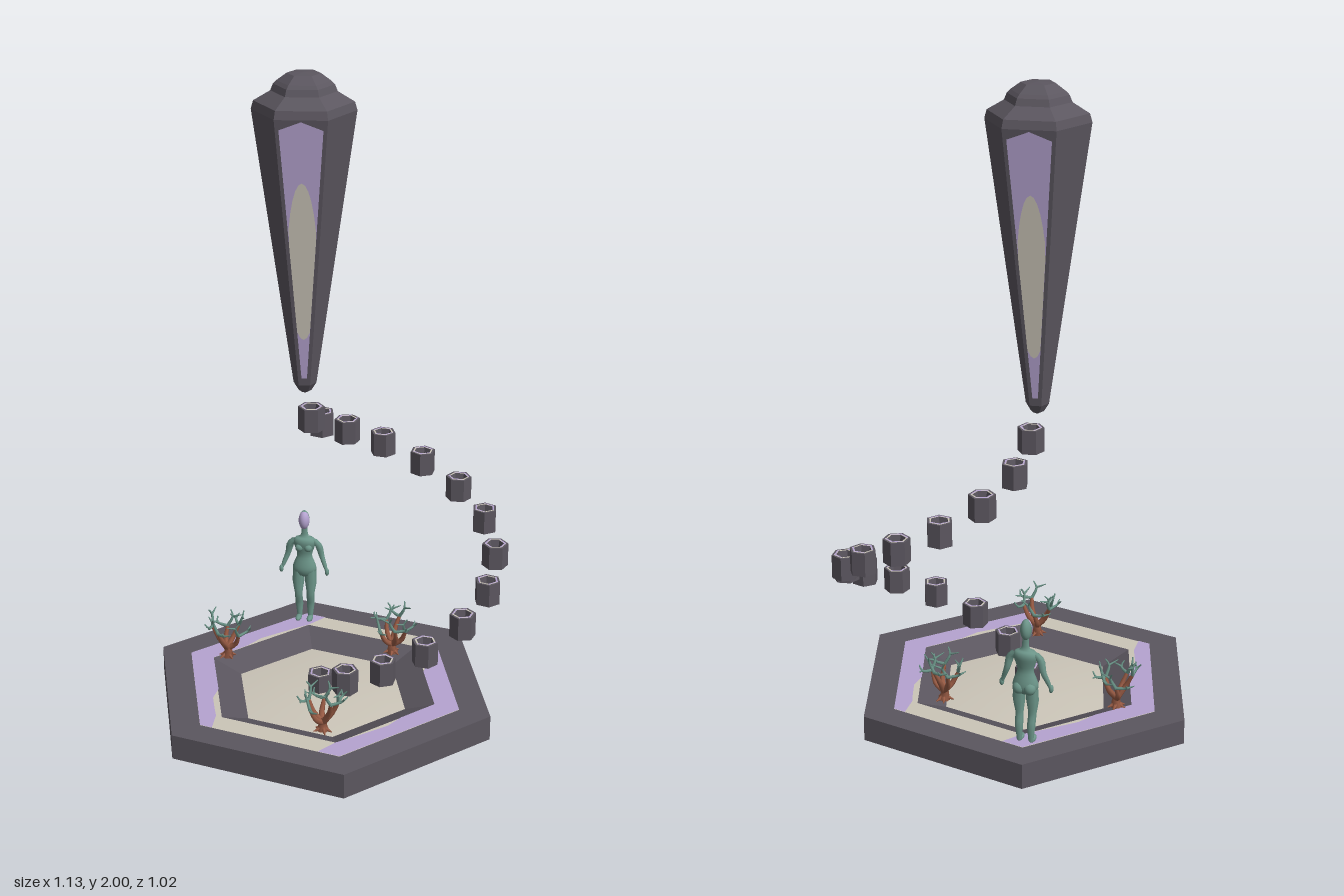
import * as THREE from 'three';

const mat = (name, color, double) => {
  const m = new THREE.MeshStandardMaterial({ color });
  m.name = name;
  if (double) m.side = THREE.DoubleSide;
  return m;
};
const V = (x, y, z) => new THREE.Vector3(x, y, z);
const rad = THREE.MathUtils.degToRad;

export function createModel() {
  const stone = mat('dark stone', 0x5b565f);
  const lilac = mat('lilac', 0xb5a3d0, true);
  const cream = mat('cream', 0xcbc5b8, true);
  const teal = mat('teal', 0x6b9488);
  const rust = mat('rust', 0x9a5c45);

  const add = (parent, name, geo, material, x = 0, y = 0, z = 0) => {
    const m = new THREE.Mesh(geo, material);
    m.name = name;
    m.position.set(x, y, z);
    parent.add(m);
    return m;
  };
  const group = (parent, name, x = 0, y = 0, z = 0) => {
    const g = new THREE.Group();
    g.name = name;
    g.position.set(x, y, z);
    parent.add(g);
    return g;
  };

  // Six-sided faceted solid from a radius/height profile
  const hexLathe = (profile, startDeg) => {
    const pts = profile.map(([r, y]) => new THREE.Vector2(r, y));
    const g = new THREE.LatheGeometry(pts, 6, rad(startDeg)).toNonIndexed();
    g.computeVertexNormals();
    return g;
  };

  // Tapered tube through points, one radius per point
  const limb = (pts, radii, sides = 8, steps = 12) => {
    const curve = new THREE.CatmullRomCurve3(pts);
    const g = new THREE.TubeGeometry(curve, steps, 1, sides);
    const p = g.attributes.position, v = V(), last = radii.length - 1;
    for (let i = 0; i < p.count; i++) {
      const t = Math.floor(i / (sides + 1)) / steps;
      const c = curve.getPointAt(t), k = Math.min(Math.floor(t * last), last - 1);
      const r = THREE.MathUtils.lerp(radii[k], radii[k + 1], t * last - k);
      v.fromBufferAttribute(p, i).sub(c).multiplyScalar(r).add(c);
      p.setXYZ(i, v.x, v.y, v.z);
    }
    return g;
  };

  const root = new THREE.Group();
  root.name = 'floatingCrystalShrine';

  // Hexagonal pad: dark rim, coloured band, sunken dark bevel, pale domed floor
  const bandHalf = [[0.19, 0.4], [0.23, 0.4], [0.461, 0], [0.23, -0.4], [0.16, -0.4],
    [0.19, -0.33], [0.23, -0.275], [0.295, -0.18], [0.315, -0.115], [0.38, 0], [0.275, 0.18],
    [0.267, 0.235], [0.235, 0.29], [0.21, 0.33]];
  const rimGeo = hexLathe([[0, 0], [0.563, 0], [0.563, 0.08], [0.461, 0.08]], 30);
  const bandGeo = hexLathe([[0.461, 0.08], [0.381, 0.08]], 30);
  const bevelGeo = hexLathe([[0.381, 0.08], [0.283, 0.042]], 30);
  const floorGeo = new THREE.LatheGeometry(
    [[0.283, 0.042], [0.2, 0.051], [0.1, 0.057], [0, 0.059]].map(p => new THREE.Vector2(...p)), 6, rad(30));
  const patchGeo = new THREE.ShapeGeometry(new THREE.Shape(bandHalf.map(p => new THREE.Vector2(...p))));
  patchGeo.rotateX(-Math.PI / 2);
  const makePad = (name) => {
    const g = group(root, name);
    add(g, 'rim', rimGeo, stone);
    add(g, 'band', bandGeo, cream);
    add(g, 'bevel', bevelGeo, stone);
    add(g, 'floor', floorGeo, cream);
    for (const s of [0, 1]) add(g, 'bandPatch', patchGeo, lilac, 0, 0.0815, 0).rotation.y = s * Math.PI;
    return g;
  };
  makePad('platform').position.z = 0.02;

  // Spiral of fourteen floating steps
  for (let i = 0; i < 14; i++) {
    const a = rad(132 - i * 360 / 14);
    const step = makePad('step');
    step.scale.set(0.073, 0.93, 0.073);
    step.position.set(0.19 + 0.288 * Math.cos(a), 0.04 + 0.0655 * i, -0.187 + 0.288 * Math.sin(a));
    step.rotation.y = -a;
  }

  // Hanging crystal spire
  const spire = group(root, 'spire', -0.095, 0, -0.072);
  add(spire, 'spireBody', hexLathe([[0, 1.01], [0.02, 1.02], [0.035, 1.045], [0.155, 1.89], [0.148, 1.915],
    [0.098, 1.945], [0.09, 1.965], [0.08, 1.975], [0.05, 1.997], [0, 2]], 50), stone);

  // Inlaid panels on two opposite slanted faces
  const spireR = y => 0.035 + 0.12 * (y - 1.045) / 0.845;
  const halfW = y => spireR(y) / 2 - 0.011;
  const onFace = (outline, lift) => {
    const g = new THREE.ShapeGeometry(new THREE.Shape(outline.map(p => new THREE.Vector2(...p))));
    const p = g.attributes.position;
    for (let i = 0; i < p.count; i++) p.setZ(i, spireR(p.getY(i)) * 0.866 + lift);
    g.computeVertexNormals();
    return g;
  };
  const panel = onFace([[-halfW(1.07), 1.07], [halfW(1.07), 1.07], [halfW(1.86), 1.86], [0, 1.885],
    [-halfW(1.86), 1.86]], 0.002);
  const oval = [];
  for (let i = 0; i < 28; i++) {
    const a = i / 28 * Math.PI * 2, y = 1.45 + 0.25 * Math.sin(a), w = halfW(y);
    oval.push([THREE.MathUtils.clamp(0.044 * Math.cos(a), -w, w), y]);
  }
  const ovalGeo = onFace(oval, 0.004);
  for (const az of [20, 200]) {
    const inlay = group(spire, 'spireInlay');
    inlay.rotation.y = rad(az);
    add(inlay, 'lilacPanel', panel, lilac);
    add(inlay, 'creamOval', ovalGeo, cream);
  }

  // Standing figure
  const figure = group(root, 'figure', -0.22, 0.083, -0.345);
  figure.rotation.y = rad(12);
  const ball = (name, material, c, s) => {
    const m = add(figure, name, new THREE.SphereGeometry(1, 16, 12), material, ...c);
    m.scale.set(...s);
    return m;
  };
  const torso = new THREE.SplineCurve([[0, 0.157], [0.027, 0.164], [0.04, 0.185], [0.035, 0.208], [0.025, 0.235],
    [0.031, 0.26], [0.038, 0.282], [0.032, 0.297], [0.013, 0.306], [0.01, 0.34]].map(p => new THREE.Vector2(...p)));
  add(figure, 'torso', new THREE.LatheGeometry(torso.getPoints(24).map(p => p.setX(Math.max(p.x, 0))), 16), teal)
    .scale.z = 0.62;
  ball('head', teal, [0, 0.364, 0.004], [0.017, 0.033, 0.021]);
  const face = add(figure, 'face', new THREE.SphereGeometry(1, 14, 12, 0, Math.PI), lilac, 0, 0.364, 0.006);
  face.scale.set(0.018, 0.032, 0.0215);
  for (const s of [-1, 1]) {
    add(figure, 'arm', limb([V(s * 0.03, 0.29, 0), V(s * 0.046, 0.275, 0), V(s * 0.057, 0.235, -0.003),
      V(s * 0.07, 0.2, 0.004), V(s * 0.079, 0.172, 0.008)], [0.01, 0.012, 0.009, 0.007, 0.003]), teal);
    ball('hand', teal, [s * 0.077, 0.182, 0.008], [0.007, 0.013, 0.008]);
    add(figure, 'leg', limb([V(s * 0.02, 0.185, 0), V(s * 0.021, 0.135, 0.002), V(s * 0.02, 0.09, 0.003),
      V(s * 0.019, 0.055, -0.004), V(s * 0.018, 0.008, -0.004)], [0.019, 0.02, 0.013, 0.013, 0.008]), teal);
    ball('foot', teal, [s * 0.019, 0.007, 0.01], [0.01, 0.009, 0.022]);
    ball('chest', teal, [s * 0.015, 0.267, 0.016], [0.013, 0.013, 0.012]);
    ball('hip', teal, [s * 0.017, 0.182, -0.012], [0.019, 0.02, 0.018]);
  }

  // Small bare trees: rust trunk and boughs, teal twigs
  const polar = (deg, r, y) => V(r * Math.cos(rad(deg)), y, r * Math.sin(rad(deg)));
  const makeTree = (x, z, turn) => {
    const tree = group(root, 'tree', x, 0.08, z);
    tree.rotation.y = rad(turn);
    add(tree, 'trunk', limb([V(0, 0, 0), V(0.003, 0.02, 0), V(0, 0.045, 0.003)], [0.019, 0.012, 0.011], 6, 5), rust);
    for (let i = 0; i < 5; i++) {
      const a = i * 72 + (i % 2) * 18, up = 0.012 * (i % 3);
      const knee = polar(a, 0.028, 0.048 + up), tip = polar(a + 12, 0.046, 0.085 + up);
      add(tree, 'bough', limb([V(0, 0.028, 0), knee, tip], [0.01, 0.0085, 0.0055], 6, 6), rust);
      add(tree, 'root', limb([V(0, 0.015, 0), polar(a + 30, 0.014, 0.006), polar(a + 30, 0.03, 0)],
        [0.008, 0.006, 0.001], 5, 4), rust);
      for (const [da, r, y] of [[-18, 0.078, 0.108], [32, 0.06, 0.138]]) {
        const mid = polar(a + da, r * 0.85, y * 0.86 + up), end = polar(a + da * 0.7, r, y + up);
        add(tree, 'twig', limb([tip, mid, end], [0.0055, 0.0045, 0.002], 5, 5), teal);
        add(tree, 'sprig', limb([mid, polar(a + da * 2, r * 0.98, y + up - 0.008)], [0.004, 0.0015], 5, 3), teal);
      }
    }
  };
  makeTree(-0.345, -0.01, 0);
  makeTree(0.125, 0.3, 120);
  makeTree(0.135, -0.245, 240);

  return root;
}
